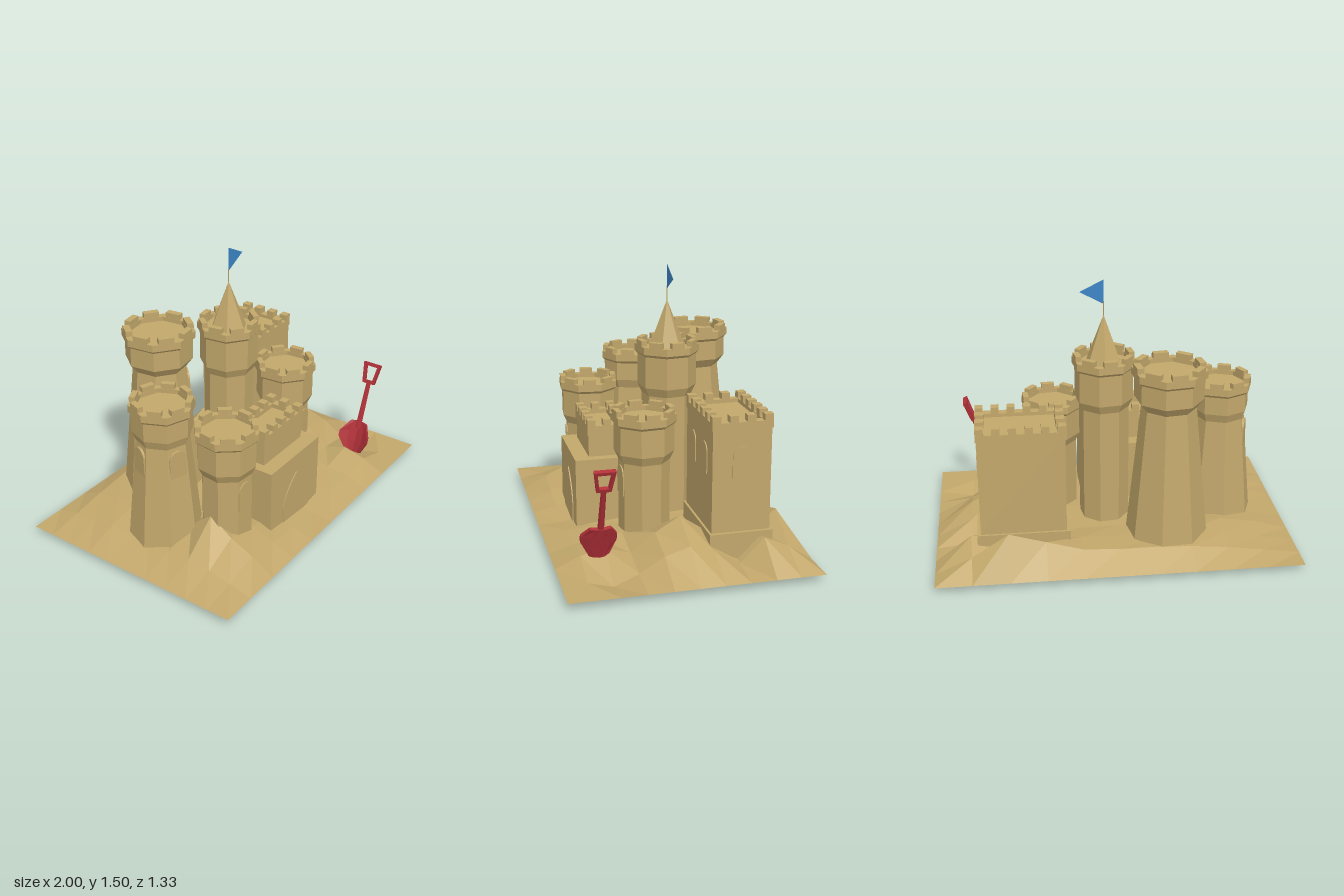
import * as THREE from 'three';

const sand = new THREE.MeshStandardMaterial({ color: 0xc2a76b });
sand.name = 'sand';
const sandSheet = new THREE.MeshStandardMaterial({ color: 0xc2a76b, side: THREE.DoubleSide });
sandSheet.name = 'sand';
const red = new THREE.MeshStandardMaterial({ color: 0xb03038 });
red.name = 'shovel red';
const blue = new THREE.MeshStandardMaterial({ color: 0x3d85c6, side: THREE.DoubleSide });
blue.name = 'flag blue';

const rad = THREE.MathUtils.degToRad;

// Faceted mesh added to a parent
function add(parent, name, geometry, material, x = 0, y = 0, z = 0) {
  const g = geometry.index ? geometry.toNonIndexed() : geometry;
  g.computeVertexNormals();
  const mesh = new THREE.Mesh(g, material);
  mesh.name = name;
  mesh.position.set(x, y, z);
  parent.add(mesh);
  return mesh;
}

function addGroup(parent, name, x, z) {
  const g = new THREE.Group();
  g.name = name;
  g.position.set(x, 0, z);
  parent.add(g);
  return g;
}

// Box given by its bottom and top heights
function block(parent, name, w, d, y0, y1, x = 0, z = 0) {
  return add(parent, name, new THREE.BoxGeometry(w, y1 - y0, d), sand, x, (y0 + y1) / 2, z);
}

// Arched plate whose outer face lies at distance `dist` in direction `deg`
function arch(parent, name, deg, dist, y0, y1, w, depth, side = 0, pointed = false) {
  const s = new THREE.Shape();
  const h = y1 - y0, spring = pointed ? h * 0.42 : h - w / 2;
  s.moveTo(-w / 2, 0);
  s.lineTo(w / 2, 0);
  s.lineTo(w / 2, spring);
  if (pointed) {
    s.quadraticCurveTo(w * 0.42, h * 0.75, 0, h);
    s.quadraticCurveTo(-w * 0.42, h * 0.75, -w / 2, spring);
  } else {
    s.absarc(0, spring, w / 2, 0, Math.PI, false);
  }
  const g = new THREE.ExtrudeGeometry(s, { depth, bevelEnabled: false, curveSegments: 5 });
  g.translate(side, y0, dist - depth);
  g.rotateY(rad(deg));
  add(parent, name, g, sand);
}

// Eight-sided tower: shaft, flared head, rim and merlons
function tower(parent, name, t) {
  const g = addGroup(parent, name, t.x, t.z);
  const wall = t.top - 0.03, floor = t.top - 0.055, inner = t.R * 0.8;
  const profile = [
    [0, 0.04], [t.base, 0.04], [t.neck, t.head - 0.05], [t.R * 0.92, t.head],
    [t.R * 0.92, t.top - 0.085], [t.R, t.top - 0.07], [t.R, wall],
    [inner, wall], [inner, floor], [0, floor],
  ].map(([r, y]) => new THREE.Vector2(r, y));
  add(g, 'towerBody', new THREE.LatheGeometry(profile, 8, rad(t.turn - 22.5)), sand);
  for (let i = 0; i < 8; i++) {
    const a = t.turn + i * 45, thick = t.R * 0.18;
    const m = new THREE.BoxGeometry(t.R * 0.42, 0.04, thick);
    m.translate(0, wall + 0.01, t.R * 0.924 - thick / 2);
    m.rotateY(rad(a));
    add(g, 'merlon', m, sand);
  }
  for (const a of t.windows) {
    arch(g, 'window', a, t.windowDist, t.windowY, t.windowY + 0.16, 0.1, t.windowDepth);
  }
  return g;
}

// Low wall with merlons round a flat rectangular roof
function battlement(g, w, d, t, floor, top, nx, nz) {
  const wall = top - 0.035;
  for (const s of [-1, 1]) {
    block(g, 'parapet', w, t, floor, wall, 0, s * (d - t) / 2);
    block(g, 'parapet', t, d - 2 * t, floor, wall, s * (w - t) / 2, 0);
    for (let i = 0; i < nx; i++) {
      const mw = w / (2 * nx - 1);
      block(g, 'merlon', mw, t, wall, top, -w / 2 + mw / 2 + i * 2 * mw, s * (d - t) / 2);
    }
    for (let i = 1; i < nz - 1; i++) {
      const mw = d / (2 * nz - 1);
      block(g, 'merlon', t, mw, wall, top, s * (w - t) / 2, -d / 2 + mw / 2 + i * 2 * mw);
    }
  }
}

// Uneven sand sheet; rows run back to front, edges stay level
function ground(parent) {
  const heights = [
    [0.07, 0.10, 0.12, 0.13, 0.13, 0.14, 0.20, 0.26, 0.13],
    [0.08, 0.12, 0.13, 0.12, 0.13, 0.14, 0.13, 0.15, 0.19],
    [0.10, 0.13, 0.12, 0.12, 0.12, 0.12, 0.12, 0.12, 0.06],
    [0.09, 0.11, 0.12, 0.12, 0.12, 0.12, 0.13, 0.18, 0.14],
    [0.09, 0.11, 0.12, 0.12, 0.12, 0.12, 0.13, 0.27, 0.18],
    [0.10, 0.16, 0.13, 0.11, 0.11, 0.11, 0.12, 0.19, 0.14],
    [0.11, 0.27, 0.17, 0.10, 0.10, 0.10, 0.12, 0.09, 0.06],
    [0.09, 0.18, 0.14, 0.09, 0.08, 0.09, 0.10, 0.13, 0.005],
    [0.07, 0.12, 0.09, 0.07, 0.05, 0.08, 0.08, 0.10, 0.04],
  ];
  const g = new THREE.PlaneGeometry(2, 1.33, 10, 10).rotateX(-Math.PI / 2);
  const p = g.attributes.position;
  for (let i = 0; i < p.count; i++) {
    const col = i % 11, row = Math.floor(i / 11);
    p.setY(i, heights[row - 1]?.[col - 1] ?? 0.04);
  }
  add(parent, 'sandGround', g, sandSheet);
}

// Toy shovel leaning to the right
function shovel(parent) {
  const g = addGroup(parent, 'shovel', 0.615, 0.44);
  g.position.y = 0.11;
  g.rotation.z = rad(-20.5);
  // Cupped blade, narrower at both ends
  const blade = new THREE.BoxGeometry(0.022, 0.19, 0.19, 1, 3, 4);
  const p = blade.attributes.position;
  for (let i = 0; i < p.count; i++) {
    const v = p.getY(i) / 0.095;
    const z = p.getZ(i) * (Math.abs(v) > 0.9 ? 0.55 : 1);
    p.setXYZ(i, p.getX(i) - 5 * z * z + 0.02, p.getY(i) - (v < 0 ? -1 : 1) * 1.5 * z * z, z);
  }
  add(g, 'shovelBlade', blade, red, 0, 0.095, 0);
  add(g, 'shovelShaft', new THREE.CylinderGeometry(0.014, 0.018, 0.3, 6), red, 0.012, 0.3, 0);
  // Trapezoid grip
  const grip = new THREE.Shape([[-0.038, 0], [0.038, 0], [0.056, 0.125], [-0.056, 0.125]]
    .map(([x, y]) => new THREE.Vector2(x, y)));
  grip.holes.push(new THREE.Path([[-0.024, 0.018], [-0.037, 0.107], [0.037, 0.107], [0.024, 0.018]]
    .map(([x, y]) => new THREE.Vector2(x, y))));
  const gripGeometry = new THREE.ExtrudeGeometry(grip, { depth: 0.024, bevelEnabled: false });
  gripGeometry.translate(0, 0, -0.012).rotateY(Math.PI / 2);
  add(g, 'shovelGrip', gripGeometry, red, 0.012, 0.435, 0);
}

export function createModel() {
  const model = new THREE.Group();
  model.name = 'sandCastle';
  ground(model);

  // Round towers
  tower(model, 'backTower', { x: -0.285, z: -0.315, R: 0.205, base: 0.235, neck: 0.15, head: 0.92, top: 1.115,
    turn: 8, windows: [53, -37], windowY: 0.66, windowDist: 0.16, windowDepth: 0.05 });
  tower(model, 'leftTower', { x: -0.63, z: -0.02, R: 0.178, base: 0.208, neck: 0.145, head: 0.73, top: 0.92,
    turn: -20, windows: [-20, -110], windowY: 0.5, windowDist: 0.15, windowDepth: 0.04 });
  const small = { R: 0.178, base: 0.14, neck: 0.14, head: 0.555, top: 0.79, turn: -6,
    windows: [-6], windowY: 0.32, windowDist: 0.136, windowDepth: 0.02 };
  tower(model, 'frontLeftTower', { ...small, x: -0.475, z: 0.28 });
  tower(model, 'frontRightTower', { ...small, x: 0.32, z: 0.125, turn: 5, windows: [5] });
  const centre = tower(model, 'centreTower', { ...small, x: 0.04, z: -0.075, head: 0.84, top: 1.1, turn: 8, windows: [] });

  // Spire, pole and flag
  add(centre, 'spire', new THREE.ConeGeometry(0.105, 0.27, 6), sand, 0, 1.18, 0);
  add(centre, 'flagPole', new THREE.CylinderGeometry(0.002, 0.002, 0.12, 5), sand, 0, 1.33, 0);
  const pennant = new THREE.Shape([[0, 1.375], [0.13, 1.445], [0, 1.51]].map(([x, y]) => new THREE.Vector2(x, y)));
  add(centre, 'flag', new THREE.ShapeGeometry(pennant), blue);

  // Square keep
  const keep = addGroup(model, 'keep', 0.515, -0.285);
  block(keep, 'keepPlinth', 0.505, 0.34, 0.02, 0.215);
  block(keep, 'keepBody', 0.465, 0.315, 0.215, 0.785);
  battlement(keep, 0.475, 0.325, 0.047, 0.765, 0.84, 6, 4);
  arch(keep, 'window', 0, 0.163, 0.51, 0.675, 0.1, 0.012, 0.095);
  arch(keep, 'window', 0, 0.163, 0.51, 0.675, 0.1, 0.012, -0.11);
  for (const a of [90, -90]) arch(keep, 'window', a, 0.238, 0.51, 0.675, 0.1, 0.012);

  // Gatehouse
  const gate = addGroup(model, 'gatehouse', -0.09, 0.28);
  block(gate, 'gateBase', 0.48, 0.38, 0.04, 0.46);
  block(gate, 'gateTop', 0.37, 0.21, 0.46, 0.61);
  battlement(gate, 0.38, 0.22, 0.045, 0.58, 0.67, 5, 3);
  arch(gate, 'gateDoor', 0, 0.196, 0.05, 0.35, 0.26, 0.009, 0.01, true);

  shovel(model);
  return model;
}
